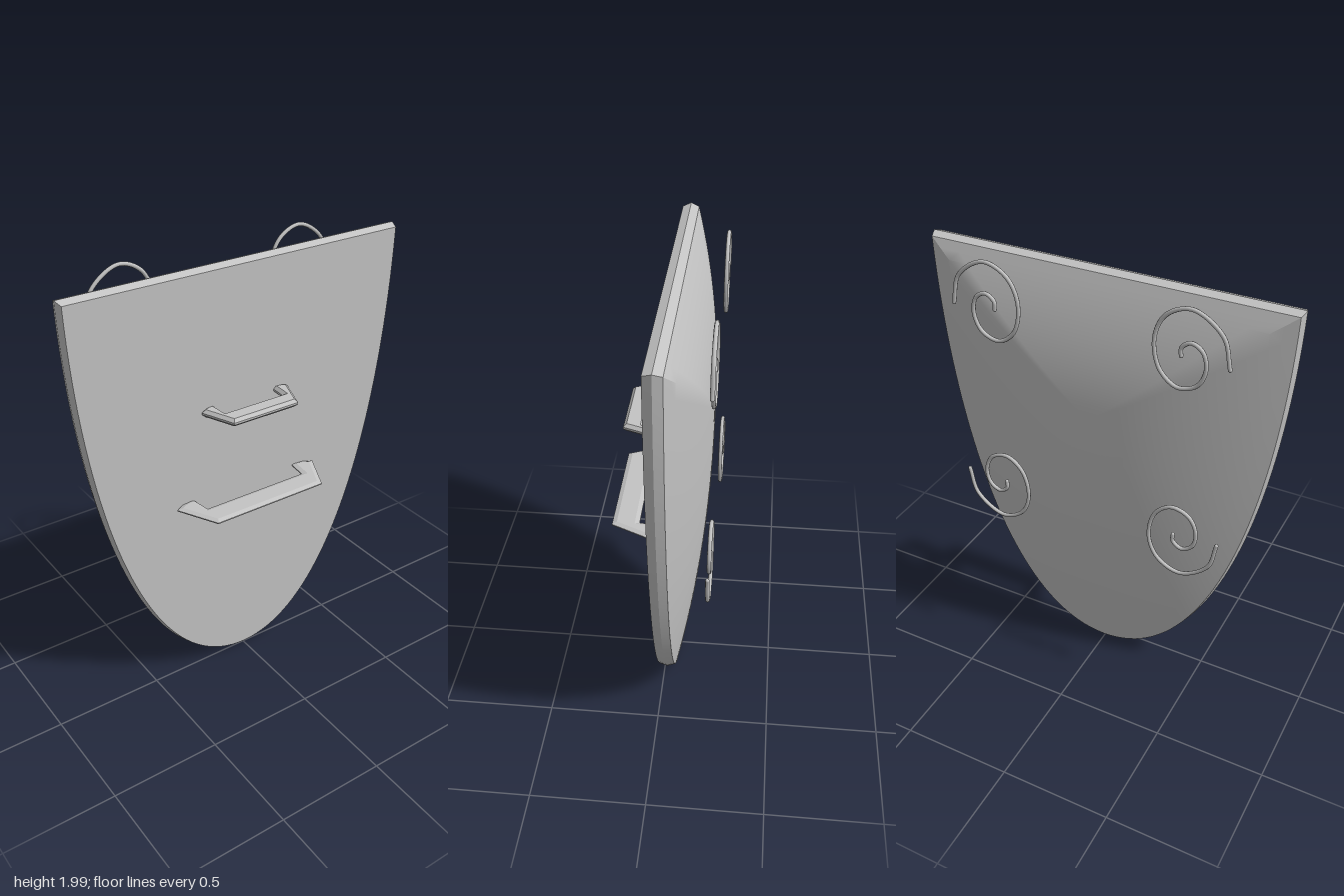
import * as THREE from 'three';
import { toCreasedNormals } from 'three/addons/utils/BufferGeometryUtils.js';

const steel = new THREE.MeshStandardMaterial({ color: 0xc4c4c4 });
steel.name = 'steel grey';

const V2 = (x, y) => new THREE.Vector2(x, y);

// Closed shield outline, counter-clockwise from the front
function shieldOutline() {
  const side = new THREE.CubicBezierCurve(V2(0.82, 1.985), V2(0.80, 0.95), V2(0.5, 0.01), V2(0, 0.01)).getPoints(40);
  const left = side.map(p => V2(-p.x, p.y));
  const right = side.slice(0, -1).reverse();
  const top = [];
  for (let i = 1; i < 16; i++) top.push(V2(0.82 - 1.64 * i / 16, 1.985));
  return [...left, ...right, ...top];
}

const inset = (points, s) => points.map(p => V2(p.x * s, 1 + (p.y - 1) * s));

// Skin a list of { points, z } rings that run from front to back
function loft(rings) {
  const n = rings[0].points.length, pos = [], index = [];
  for (const r of rings) for (const p of r.points) pos.push(p.x, p.y, r.z);
  for (let i = 0; i < rings.length - 1; i++) {
    for (let j = 0; j < n; j++) {
      const k = (j + 1) % n;
      const a = i * n + j, b = i * n + k, d = a + n, c = b + n;
      index.push(a, d, b, b, d, c);
    }
  }
  const geo = new THREE.BufferGeometry();
  geo.setAttribute('position', new THREE.Float32BufferAttribute(pos, 3));
  geo.setIndex(index);
  return toCreasedNormals(geo, 0.5);
}

function addMesh(group, name, geometry) {
  const mesh = new THREE.Mesh(geometry, steel);
  mesh.name = name;
  group.add(mesh);
  return mesh;
}

// Bracket handle: half profile in x and z, mirrored and extruded along y
function handleGeometry(half, thickness, bevel) {
  const points = [...half, ...half.slice().reverse().map(([x, z]) => [-x, z])];
  const shape = new THREE.Shape(points.map(([x, z]) => V2(x, -z)));
  const depth = 0.25 * thickness;
  const geo = new THREE.ExtrudeGeometry(shape, {
    depth, bevelEnabled: true, bevelSegments: 1,
    bevelThickness: (thickness - depth) / 2, bevelSize: bevel, bevelOffset: -bevel,
  });
  return geo.translate(0, 0, -depth / 2).rotateX(-Math.PI / 2);
}

export function createModel() {
  const group = new THREE.Group();
  const outline = shieldOutline();
  const inner = inset(outline, 0.986);

  // Flat front
  const face = new THREE.ShapeGeometry(new THREE.Shape(inner));
  addMesh(group, 'frontPlate', face.translate(0, 0, 0.012));

  // Rim with a ridge around the middle
  addMesh(group, 'rim', loft([
    { points: inner, z: 0.012 },
    { points: outline, z: -0.025 },
    { points: inner, z: -0.062 },
  ]));

  // Domed back, rising to a peak above the middle
  const rings = [];
  const steps = 16, peak = 1.37;
  for (let i = 0; i <= steps; i++) {
    const s = Math.max(1 - i / steps, 0.0005);
    rings.push({
      points: inner.map(p => V2(p.x * s, peak + (p.y - peak) * s)),
      z: -0.062 - 0.138 * (1 - s * s),
    });
  }
  addMesh(group, 'domedBack', loft(rings));

  // Handles on the front
  const upper = [[0.155, 0.0], [0.2, 0.005], [0.225, 0.02], [0.165, 0.174]];
  upper.splice(0, 0, [0.15, 0.088]);
  addMesh(group, 'upperHandle', handleGeometry(upper, 0.036, 0.014)).position.y = 1.362;
  const lower = [[0.257, 0.1], [0.27, 0.0], [0.33, 0.012], [0.37, 0.035], [0.28, 0.218]];
  addMesh(group, 'lowerHandle', handleGeometry(lower, 0.02, 0.02)).position.y = 0.94;

  // Four scrolls behind the back, mirrored across and up
  const scroll = [
    [0.61, 1.78], [0.575, 1.91], [0.45, 1.99], [0.345, 1.945], [0.3, 1.84],
    [0.325, 1.71], [0.4, 1.65], [0.48, 1.675], [0.515, 1.75], [0.5, 1.825],
    [0.452, 1.853], [0.412, 1.825], [0.412, 1.79],
  ];
  for (const sx of [1, -1]) {
    for (const upperRow of [true, false]) {
      const path = new THREE.CatmullRomCurve3(scroll.map(([x, y]) =>
        new THREE.Vector3(sx * x, upperRow ? y : 2.72 - y, -0.217)));
      const name = (upperRow ? 'upper' : 'lower') + (sx > 0 ? 'Left' : 'Right') + 'Scroll';
      addMesh(group, name, new THREE.TubeGeometry(path, 90, 0.009, 8));
      // Rounded scroll tips
      for (const t of [0, 1]) {
        const tip = addMesh(group, name + 'Tip', new THREE.SphereGeometry(0.009, 8, 6));
        tip.position.copy(path.getPoint(t));
      }
    }
  }
  return group;
}
